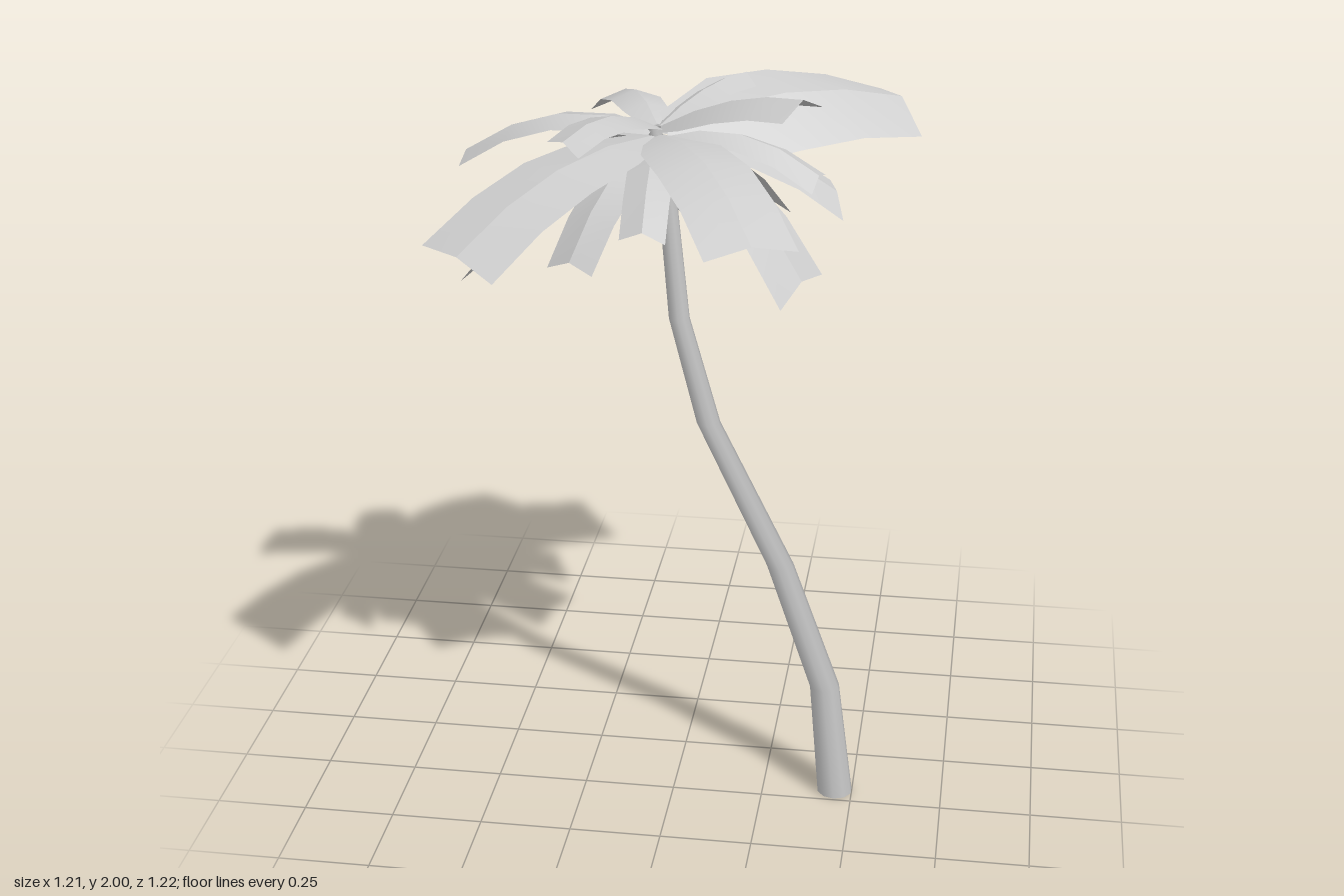
import * as THREE from 'three';

const grey = new THREE.MeshStandardMaterial({ color: 0xcccccc, side: THREE.DoubleSide });
grey.name = 'pale grey';

// Trunk rings from bottom to top: x, y, z, radius
const TRUNK = [
  [0.452, 0, 0.195, 0.049], [0.415, 0.33, 0.187, 0.041], [0.283, 0.68, 0.157, 0.037],
  [0.08, 1.08, 0.13, 0.032], [-0.005, 1.36, 0.09, 0.028], [-0.04, 1.65, 0.045, 0.025],
  [-0.08, 1.86, 0.02, 0.018],
];

// Fronds: left tip corner, right tip corner (seen from the trunk), root height, arch height,
// fold depth and, where the root is slanted, its roll
const UPPER = [
  [[-0.03, 1.6, -0.61], [0.17, 1.62, -0.5], 1.84, 1.95, 0.03],
  [[0.48, 1.86, -0.44], [0.605, 1.79, -0.23], 1.85, 1.97, 0.045, 0.12],
  [[0.37, 1.965, 0.14], [0.28, 1.955, 0.27], 1.86, 2.0, 0.04],
  [[0.345, 1.69, 0.46], [0.125, 1.69, 0.57], 1.84, 1.92, 0.025],
  [[-0.39, 1.62, 0.61], [-0.6, 1.66, 0.46], 1.84, 1.88, 0.02],
  [[-0.6, 1.74, 0.05], [-0.6, 1.74, -0.13], 1.85, 1.95, 0.02],
  [[-0.43, 1.6, -0.33], [-0.26, 1.6, -0.41], 1.84, 1.9, 0.03],
  [[-0.3, 1.82, -0.26], [-0.17, 1.82, -0.3], 1.86, 1.98, 0.025],
  [[0.1, 1.93, -0.26], [0.165, 1.93, -0.16], 1.86, 1.96, 0.025],
  [[-0.2, 1.9, 0.45], [-0.3, 1.905, 0.34], 1.86, 1.99, 0.02],
];
const LOWER = [
  [[0.37, 1.69, -0.13], [0.42, 1.63, 0.03], 1.83, 1.87, 0.025],
  [[0.37, 1.75, 0.02], [0.345, 1.73, 0.13], 1.83, 1.92, 0.025],
  [[0.37, 1.49, 0.06], [0.28, 1.45, 0.24], 1.83, 1.84, 0.03],
  [[0.01, 1.68, 0.43], [-0.11, 1.68, 0.41], 1.83, 1.87, 0.025],
  [[-0.565, 1.48, 0.22], [-0.53, 1.43, 0.02], 1.83, 1.84, 0.025],
  [[-0.2, 1.52, -0.28], [0.04, 1.51, -0.28], 1.83, 1.85, 0.025],
  [[0.14, 1.55, -0.31], [0.26, 1.57, -0.2], 1.83, 1.85, 0.025],
  [[-0.385, 1.52, -0.27], [-0.27, 1.53, -0.32], 1.83, 1.84, 0.025],
  [[-0.18, 1.58, 0.41], [-0.31, 1.57, 0.33], 1.83, 1.85, 0.025],
];

// Open cylinder whose rings follow the bent trunk line
function trunkGeometry() {
  const n = TRUNK.length - 1;
  const geo = new THREE.CylinderGeometry(1, 1, 1, 10, n, true);
  const p = geo.attributes.position;
  for (let i = 0; i < p.count; i++) {
    const [x, y, z, r] = TRUNK[Math.round((p.getY(i) + 0.5) * n)];
    p.setXYZ(i, x + p.getX(i) * r, y, z + p.getZ(i) * r);
  }
  return geo;
}

// Arching strip folded along its midrib, turning from the slant of its root to that of its tip
function frondGeometry([left, right, rootY, archY, fold, roll = 0]) {
  const L = new THREE.Vector3(...left), R = new THREE.Vector3(...right);
  const tip = L.clone().lerp(R, 0.5);
  tip.y += fold;
  const root = new THREE.Vector3(-0.07, rootY, 0.02);
  const mid = root.clone().lerp(tip, 0.52).setY(archY);
  const curve = new THREE.QuadraticBezierCurve3(root, mid, tip);
  const dir = tip.clone().sub(root).setY(0).normalize();
  const tipSide = L.sub(R).multiplyScalar(0.5);
  const rootSide = new THREE.Vector3(dir.z, 0, -dir.x).multiplyScalar(tipSide.length()).setY(roll);
  const stations = [[0.03, 0.38], [0.25, 0.9], [0.5, 1], [0.75, 1], [1, 1]];
  const pos = [], index = [];
  stations.forEach(([t, w], i) => {
    const rib = curve.getPoint(t);
    const side = rootSide.clone().lerp(tipSide, t);
    const edge = (s) => rib.clone().addScaledVector(side, s * w).setY(rib.y + side.y * s * w - fold * w);
    for (const v of [edge(1), rib, rib, edge(-1)]) pos.push(v.x, v.y, v.z);
    if (i === 0) return;
    for (const c of [0, 2]) {
      const a = (i - 1) * 4 + c, b = i * 4 + c;
      index.push(a + 1, b + 1, a, b + 1, b, a);
    }
  });
  const geo = new THREE.BufferGeometry();
  geo.setAttribute('position', new THREE.Float32BufferAttribute(pos, 3));
  geo.setIndex(index);
  geo.computeVertexNormals();
  return geo;
}

export function createModel() {
  const model = new THREE.Group();
  model.name = 'palmTree';

  const trunk = new THREE.Mesh(trunkGeometry(), grey);
  trunk.name = 'trunk';
  model.add(trunk);

  // Crown in two tiers
  for (const [name, list] of [['upperFronds', UPPER], ['lowerFronds', LOWER]]) {
    const tier = new THREE.Group();
    tier.name = name;
    for (const data of list) {
      const frond = new THREE.Mesh(frondGeometry(data), grey);
      frond.name = 'frond';
      tier.add(frond);
    }
    model.add(tier);
  }
  return model;
}
